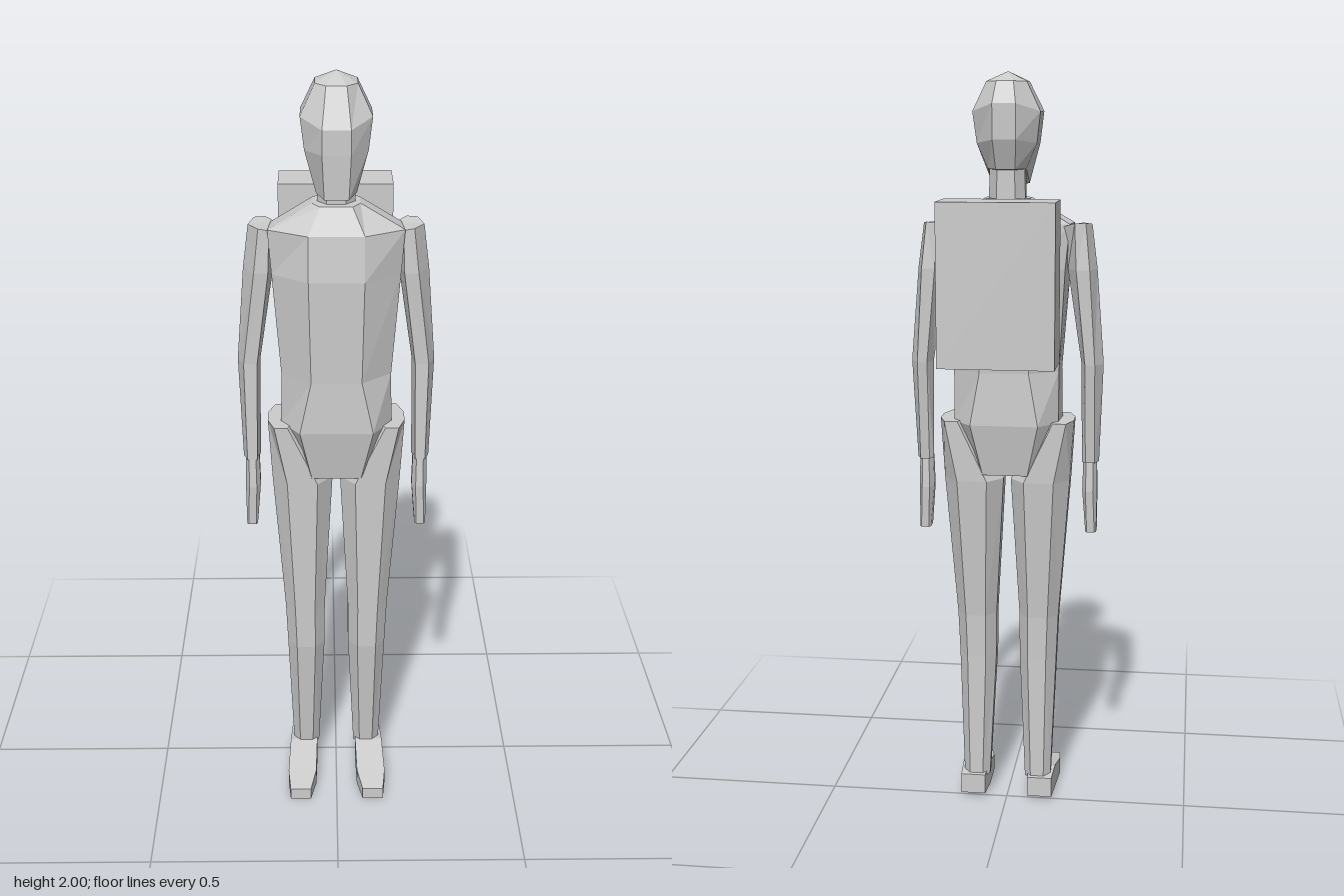
import * as THREE from 'three';

const grey = new THREE.MeshStandardMaterial({ color: 0xcccccc, flatShading: true });
grey.name = 'plain grey';

// Skin a list of equal-length rings of [x, y, z] points, closing both ends.
// lift raises the centre of the last cap.
function loft(name, rings, lift = 0) {
  const n = rings[0].length, pos = [];
  const centre = (ring) => [0, 1, 2].map((k) => ring.reduce((s, p) => s + p[k], 0) / n);
  const first = centre(rings[0]), last = centre(rings[rings.length - 1]);
  last[1] += lift;
  const tris = [];
  for (let j = 0; j < n; j++) {
    const k = (j + 1) % n;
    tris.push([first, rings[0][k], rings[0][j]]);
    for (let i = 0; i + 1 < rings.length; i++) {
      const a = rings[i], b = rings[i + 1];
      tris.push([a[j], a[k], b[k]], [a[j], b[k], b[j]]);
    }
    tris.push([last, rings[rings.length - 1][j], rings[rings.length - 1][k]]);
  }
  // Signed volume tells whether the corners must be reversed to face outward
  const v = (p) => new THREE.Vector3(...p);
  const volume = tris.reduce((s, [a, b, c]) => s + v(a).dot(v(b).cross(v(c))), 0);
  for (const [a, b, c] of tris) pos.push(...a, ...(volume > 0 ? [...b, ...c] : [...c, ...b]));
  const g = new THREE.BufferGeometry();
  g.setAttribute('position', new THREE.Float32BufferAttribute(pos, 3));
  g.computeVertexNormals();
  const m = new THREE.Mesh(g, grey);
  m.name = name;
  return m;
}

// Symmetric ring from half-profile corners [x, z, y?], given front to back
function mirrored(y, half) {
  const right = half.map(([x, z, py = y]) => [x, py, z]);
  return [...right, ...right.map(([x, py, z]) => [-x, py, z]).reverse()];
}

// Eight-sided ring in a box, with corners cut by fractions cx and cz
function octagon(y, x0, x1, z0, z1, cx = 0.25, cz = 0.33) {
  const a = (x1 - x0) * cx, b = (z1 - z0) * cz;
  return [
    [x0 + a, y, z1], [x1 - a, y, z1], [x1, y, z1 - b], [x1, y, z0 + b],
    [x1 - a, y, z0], [x0 + a, y, z0], [x0, y, z0 + b], [x0, y, z1 - b],
  ];
}

// Flip rings to the other side of the body
const side = (rings, s) => rings.map((r) => r.map(([x, y, z]) => [x * s, y, z]));

export function createModel() {
  const model = new THREE.Group();
  model.name = 'figure';

  // Torso, from crotch to collar
  model.add(loft('torso', [
    mirrored(0.95, [[0.065, 0.115], [0.08, 0.06], [0.08, 0], [0.06, -0.045]]),
    mirrored(1.09, [[0.095, 0.14], [0.145, 0.065], [0.14, -0.01], [0.09, -0.07]]),
    mirrored(1.23, [[0.065, 0.137], [0.142, 0.068], [0.14, -0.01], [0.065, -0.065]]),
    mirrored(1.5, [[0.07, 0.143], [0.163, 0.07], [0.155, -0.02], [0.07, -0.083]]),
    mirrored(1.615, [[0.07, 0.13], [0.172, 0.07], [0.165, -0.005], [0.07, -0.06]]),
    mirrored(1.68, [[0.04, 0.095], [0.06, 0.06], [0.06, 0], [0.04, -0.02]]),
  ]));

  // Neck
  model.add(loft('neck', [
    octagon(1.66, -0.048, 0.048, -0.022, 0.07),
    octagon(1.8, -0.045, 0.045, -0.022, 0.07),
  ]));

  // Head, chin to crown
  model.add(loft('head', [
    mirrored(1.71, [[0.03, 0.142], [0.05, 0.09, 1.715], [0.05, 0.01, 1.755], [0.025, -0.03, 1.755]]),
    mirrored(1.82, [[0.035, 0.147], [0.078, 0.09], [0.078, 0], [0.03, -0.062, 1.83]]),
    mirrored(1.9, [[0.035, 0.147, 1.88], [0.088, 0.086], [0.088, -0.01], [0.03, -0.066, 1.92]]),
    mirrored(1.975, [[0.025, 0.1], [0.052, 0.065], [0.052, -0.005], [0.022, -0.042]]),
  ], 0.025));

  for (const s of [1, -1]) {
    const label = s > 0 ? 'left' : 'right';

    // Leg, ankle to hip
    model.add(loft(label + 'Leg', side([
      octagon(0.06, 0.05, 0.122, -0.005, 0.06),
      octagon(0.42, 0.033, 0.135, -0.005, 0.105),
      octagon(0.54, 0.032, 0.14, -0.008, 0.107),
      octagon(0.93, 0.01, 0.17, -0.043, 0.112),
      octagon(1.095, 0.11, 0.18, -0.046, 0.114),
    ], s)));

    // Foot, heel to toe: [z, inner x, outer x, bottom, top]
    model.add(loft(label + 'Foot', side([
      [-0.016, 0.06, 0.128, 0.012, 0.068], [0.06, 0.055, 0.132, 0.008, 0.075],
      [0.17, 0.058, 0.137, 0.002, 0.047], [0.238, 0.073, 0.13, 0, 0.033],
    ].map(([z, x0, x1, y0, y1]) => [[x0, y0, z], [x1, y0, z], [x1, y1, z], [x0, y1, z]]), s)));

    // Arm, wrist to shoulder
    model.add(loft(label + 'Arm', side([
      [[0.202, 0.98, 0.015], [0.212, 0.98, 0.003], [0.236, 0.98, 0.003], [0.247, 0.98, 0.03], [0.236, 0.98, 0.062], [0.21, 0.98, 0.062]],
      [[0.198, 1.25, 0.01], [0.21, 1.25, -0.03], [0.236, 1.25, -0.03], [0.257, 1.25, 0.01], [0.24, 1.25, 0.055], [0.205, 1.25, 0.055]],
      [[0.16, 1.5, 0.01], [0.185, 1.5, -0.04], [0.22, 1.5, -0.038], [0.237, 1.5, 0.015], [0.208, 1.5, 0.067], [0.172, 1.5, 0.065]],
      [[0.15, 1.61, -0.015], [0.18, 1.62, -0.035], [0.208, 1.62, -0.028], [0.222, 1.615, 0.02], [0.195, 1.615, 0.062], [0.168, 1.61, 0.06]],
    ], s)));

    // Hand, fingertips to wrist
    model.add(loft(label + 'Hand', side([
      octagon(0.785, 0.213, 0.242, 0.01, 0.06, 0.15, 0.15),
      octagon(0.9, 0.203, 0.243, 0.002, 0.066),
      octagon(0.985, 0.205, 0.241, 0.008, 0.058),
    ], s)));
  }

  // Floating backpack
  const pack = new THREE.Mesh(new THREE.BoxGeometry(0.298, 0.415, 0.137), grey);
  pack.name = 'backpack';
  pack.position.set(0, 1.477, -0.17);
  model.add(pack);

  return model;
}
